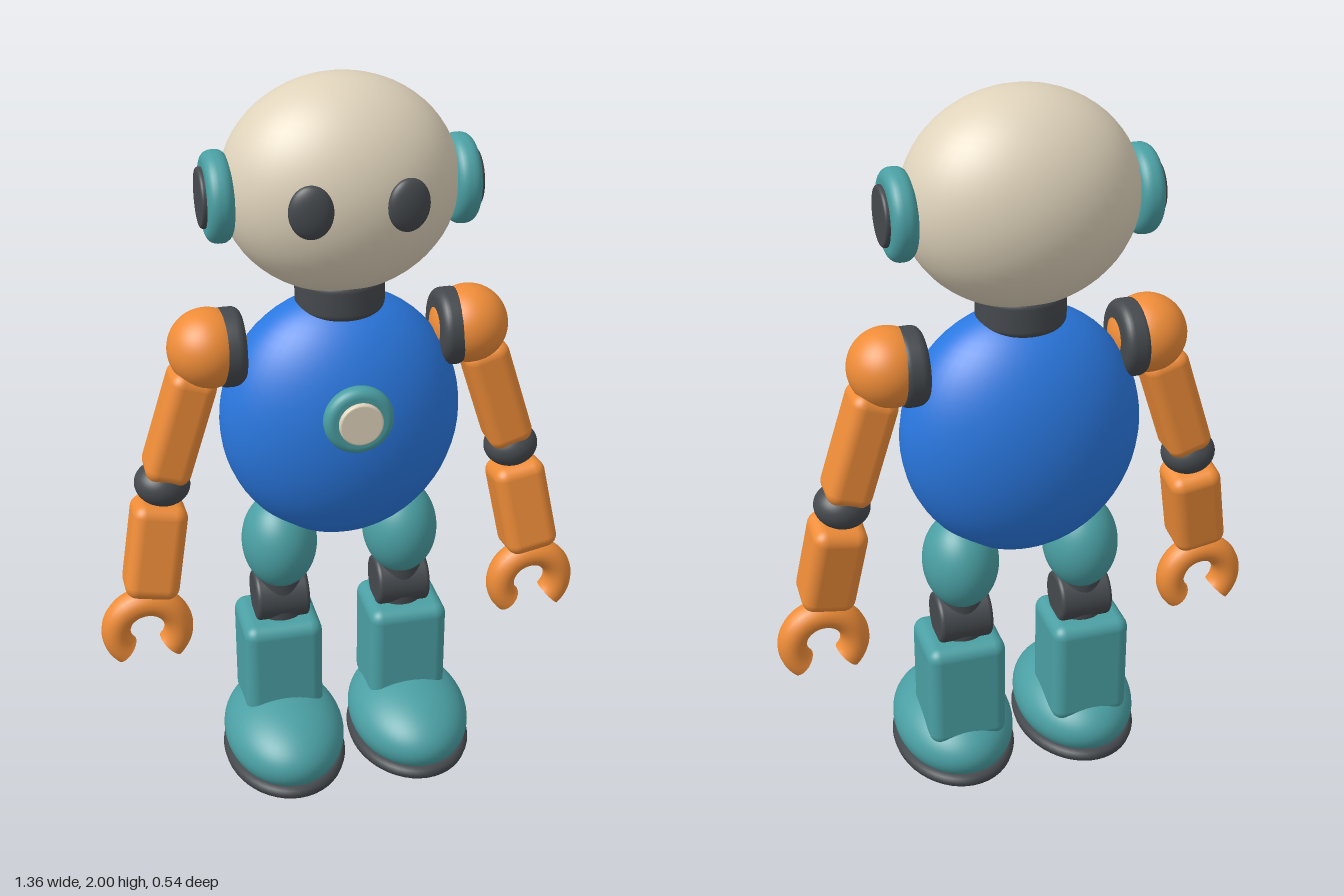
import * as THREE from 'three';
import { RoundedBoxGeometry } from 'three/addons/geometries/RoundedBoxGeometry.js';

const Z = -0.04; // depth of the body's centre plane
const mat = (color) => new THREE.MeshStandardMaterial({ color });
const beige = mat(0xdfd3bb), blue = mat(0x2a78e0), teal = mat(0x4a9fa3);
const orange = mat(0xee8c38), dark = mat(0x45494d);

function add(parent, name, geometry, material, x, y, z, rx = 0, ry = 0, rz = 0) {
  const mesh = new THREE.Mesh(geometry, material);
  mesh.name = name;
  mesh.position.set(x, y, z);
  mesh.rotation.set(rx, ry, rz);
  parent.add(mesh);
  return mesh;
}

const ellipsoid = (rx, ry, rz) => new THREE.SphereGeometry(1, 48, 32).scale(rx, ry, rz);

// Disc along y with rounded rims
function roundedDisc(radius, height, bevel) {
  const pts = [new THREE.Vector2(0, -height / 2)];
  for (const side of [-1, 1]) {
    for (let i = 0; i <= 6; i++) {
      const a = side < 0 ? (i / 6 - 1) * Math.PI / 2 : (i / 6) * Math.PI / 2;
      pts.push(new THREE.Vector2(radius - bevel + bevel * Math.cos(a),
        side * (height / 2 - bevel) + bevel * Math.sin(a)));
    }
  }
  pts.push(new THREE.Vector2(0, height / 2));
  return new THREE.LatheGeometry(pts, 48);
}

// Discs turned to face sideways
const sideDisc = (r, h, b) => roundedDisc(r, h, b).rotateZ(-Math.PI / 2);

function buildHead(model) {
  const head = new THREE.Group();
  head.name = 'head';
  add(head, 'skull', ellipsoid(0.305, 0.277, 0.232), beige, 0, 1.723, Z);
  for (const s of [-1, 1]) {
    add(head, 'eye', ellipsoid(0.055, 0.067, 0.025), dark, s * 0.12, 1.73, 0.178, 0, s * 0.15, 0);
    add(head, 'earRing', sideDisc(0.115, 0.066, 0.028), teal, s * 0.312, 1.712, Z);
    add(head, 'earCap', sideDisc(0.076, 0.06, 0.008), dark, s * 0.328, 1.712, Z);
  }
  model.add(head);
}

function buildTorso(model) {
  const torso = new THREE.Group();
  torso.name = 'torso';
  add(torso, 'neck', roundedDisc(0.117, 0.1, 0.02), dark, 0, 1.44, Z);
  add(torso, 'body', ellipsoid(0.325, 0.355, 0.214), blue, 0, 1.085, Z);
  const badge = new THREE.Group();
  badge.name = 'chestButton';
  badge.position.set(0, 1.165, 0.17);
  add(badge, 'buttonRing', roundedDisc(0.092, 0.05, 0.022), teal, 0, 0, 0, Math.PI / 2);
  add(badge, 'buttonCap', roundedDisc(0.058, 0.04, 0.006), beige, 0, 0, 0.018, Math.PI / 2);
  torso.add(badge);
  model.add(torso);
}

function buildArm(s) {
  const arm = new THREE.Group();
  arm.name = s > 0 ? 'leftArm' : 'rightArm';
  add(arm, 'shoulderJoint', sideDisc(0.104, 0.075, 0.025), dark, s * 0.295, 1.305, Z);
  add(arm, 'shoulder', ellipsoid(0.105, 0.105, 0.108), orange, s * 0.35, 1.31, -0.036);
  add(arm, 'upperArm', new RoundedBoxGeometry(0.125, 0.32, 0.137, 5, 0.035), orange,
    s * 0.434, 1.1, -0.037, 0, 0, s * 0.31);
  add(arm, 'elbow', ellipsoid(0.075, 0.06, 0.074), dark, s * 0.487, 0.93, -0.036, 0, 0, s * 0.15);
  add(arm, 'forearm', new RoundedBoxGeometry(0.148, 0.27, 0.142, 5, 0.035), orange,
    s * 0.52, 0.748, -0.013, -0.15, 0, s * 0.18);

  // Open claw with the gap facing down
  const arc = Math.PI * 1.5;
  const hand = new THREE.Group();
  hand.name = 'hand';
  hand.position.set(s * 0.555, 0.495, -0.006);
  hand.rotation.z = -Math.PI / 4;
  add(hand, 'claw', new THREE.TorusGeometry(0.087, 0.04, 20, 48, arc).scale(1, 1, 1.1), orange, 0, 0, 0);
  for (const a of [0, arc]) {
    add(hand, 'clawTip', new THREE.CircleGeometry(0.04, 20), orange,
      0.087 * Math.cos(a), 0.087 * Math.sin(a), 0, Math.PI / 2, a === 0 ? 0 : -Math.PI / 2, 0)
      .material = clawTipMaterial;
  }
  arm.add(hand);
  return arm;
}
const clawTipMaterial = orange.clone();
clawTipMaterial.side = THREE.DoubleSide;

function buildLeg(s) {
  const leg = new THREE.Group();
  leg.name = s > 0 ? 'leftLeg' : 'rightLeg';
  add(leg, 'thigh', ellipsoid(0.104, 0.137, 0.118), teal, s * 0.172, 0.706, -0.043);
  add(leg, 'kneeCore', new THREE.CylinderGeometry(0.065, 0.065, 0.2, 32), dark, s * 0.174, 0.54, -0.043);
  add(leg, 'knee', sideDisc(0.073, 0.15, 0.012), dark, s * 0.174, 0.53, -0.045);
  add(leg, 'shin', new RoundedBoxGeometry(0.222, 0.32, 0.215, 5, 0.035), teal, s * 0.181, 0.317, -0.043);
  add(leg, 'foot', ellipsoid(0.17, 0.12, 0.236), teal, s * 0.185, 0.12, 0.033);
  // Bowed sole that leaves the middle of the foot exposed
  const sole = [[0.36, 0.011], [0.7, 0.022], [0.92, 0.034], [0.98, 0.042], [1, 0.055], [0.98, 0.068], [0.93, 0.074], [0.8, 0.075]]
    .map(([r, y]) => new THREE.Vector2(r, y));
  add(leg, 'sole', new THREE.LatheGeometry(sole, 48).scale(0.174, 1, 0.238), dark, s * 0.185, 0, 0.033);
  return leg;
}

export function createModel() {
  const model = new THREE.Group();
  model.name = 'toyRobot';
  buildHead(model);
  buildTorso(model);
  for (const s of [-1, 1]) model.add(buildArm(s), buildLeg(s));
  return model;
}
